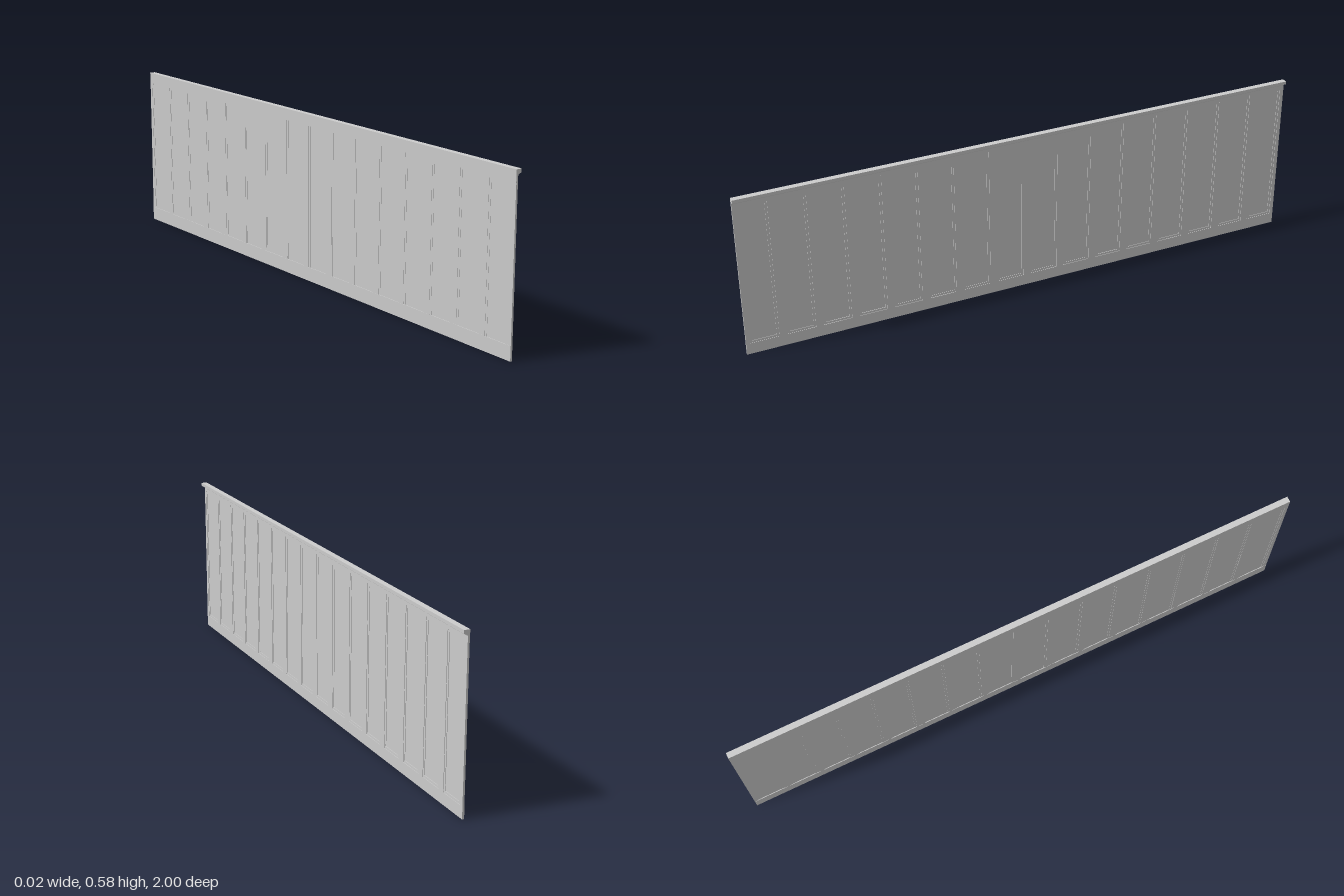
import * as THREE from 'three';

const COUNT = 16, LENGTH = 2, PITCH = LENGTH / COUNT;
const FRONT = -0.003, BACK = -0.01;      // wall faces
const OPEN_W = 0.098;                    // opening in the front frame
const LOW = 0.04, HIGH = 0.546;          // opening bottom and top
const LIP = 0.008;                       // width of the stepped moulding

export function createModel() {
  const group = new THREE.Group();
  group.name = 'panelledWall';
  const material = new THREE.MeshStandardMaterial({ color: 0xcccccc, flatShading: true });

  const add = (name, geometry, x = 0, y = 0, z = 0) => {
    const mesh = new THREE.Mesh(geometry, material);
    mesh.name = name;
    mesh.position.set(x, y, z);
    group.add(mesh);
  };
  // box between two depths and two heights
  const slab = (name, x0, x1, y0, y1, z, width) =>
    add(name, new THREE.BoxGeometry(x1 - x0, y1 - y0, width), (x0 + x1) / 2, (y0 + y1) / 2, z);
  // profile in x and y, run along the whole wall
  const run = (name, points) => {
    const shape = new THREE.Shape(points.map(([x, y]) => new THREE.Vector2(x, y)));
    add(name, new THREE.ExtrudeGeometry(shape, { depth: LENGTH, bevelEnabled: false }), 0, 0, -LENGTH / 2);
  };

  // rails, rebated on the front to take the moulding
  run('bottomRail', [[BACK, 0], [FRONT, 0], [FRONT, LOW], [-0.006, LOW], [-0.006, LOW + LIP], [BACK, LOW + LIP]]);
  run('topRailAndCap', [
    [BACK, HIGH - LIP], [-0.006, HIGH - LIP], [-0.006, HIGH], [FRONT, HIGH],
    [FRONT, 0.557], [-0.002, 0.56], [0, 0.562], [0.003, 0.563], [0.01, 0.566],
    [0.01, 0.577], [BACK, 0.577],
  ]);

  // stiles: half width at both ends of the wall
  const stileW = PITCH - OPEN_W;
  for (let i = 0; i <= COUNT; i++) {
    const end = i === 0 ? 1 : i === COUNT ? -1 : 0;
    const z = -LENGTH / 2 + i * PITCH + end * stileW / 4;
    slab('stile', -0.0095, FRONT, LOW, HIGH, z, end ? stileW / 2 : stileW);
  }

  // moulding ring around each opening
  const w = OPEN_W / 2, v = w - LIP;
  const ring = new THREE.Shape([[-w, LOW], [w, LOW], [w, HIGH], [-w, HIGH]].map((p) => new THREE.Vector2(...p)));
  ring.holes.push(new THREE.Path(
    [[-v, LOW + LIP], [-v, HIGH - LIP], [v, HIGH - LIP], [v, LOW + LIP]].map((p) => new THREE.Vector2(...p))));
  const ringGeometry = new THREE.ExtrudeGeometry(ring, { depth: 0.004, bevelEnabled: false }).rotateY(Math.PI / 2);

  for (let i = 0; i < COUNT; i++) {
    const z = -LENGTH / 2 + (i + 0.5) * PITCH;
    add('moulding', ringGeometry, -0.0086, 0, z);
    slab('panel', -0.0078, -0.0062, LOW + LIP / 2, HIGH - LIP / 2, z, OPEN_W - LIP);
  }
  return group;
}
